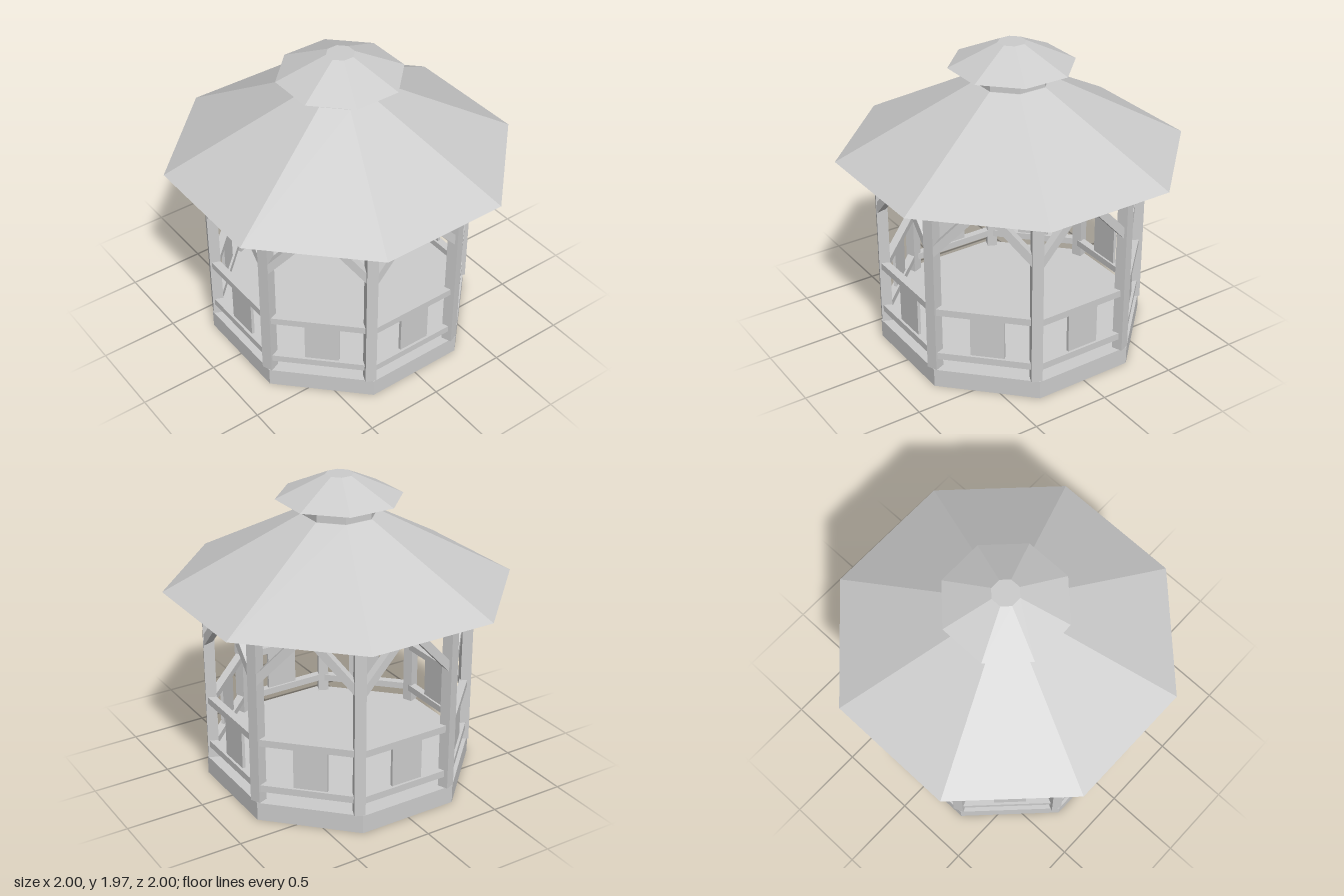
import * as THREE from 'three';

const material = new THREE.MeshStandardMaterial({ color: 0xcccccc, flatShading: true });
const SIDES = 8;
const STEP = (Math.PI * 2) / SIDES;

function addMesh(parent, name, geometry, x = 0, y = 0, z = 0) {
  const mesh = new THREE.Mesh(geometry, material);
  mesh.name = name;
  mesh.position.set(x, y, z);
  parent.add(mesh);
  return mesh;
}

// Octagonal frustum sized by the distance from its axis to the flat sides
function addOctagon(parent, name, bottom, top, y0, y1) {
  const k = 1 / Math.cos(STEP / 2);
  const geometry = new THREE.CylinderGeometry(top * k, bottom * k, y1 - y0, SIDES);
  geometry.rotateY(STEP / 2);
  return addMesh(parent, name, geometry, 0, (y0 + y1) / 2, 0);
}

// Slanted brace with a vertical cut at the post and a level cut at the beam
function braceGeometry(side) {
  const points = [[0.295, 0.91], [0.295, 0.985], [0.12, 1.176], [0.05, 1.176]]
    .map(([x, y]) => new THREE.Vector2(side * x, y));
  return new THREE.ExtrudeGeometry(new THREE.Shape(points), { depth: 0.05, bevelEnabled: false });
}

export function createModel() {
  const model = new THREE.Group();
  model.name = 'gazebo';

  // Floor, main roof, vent and upper roof
  addOctagon(model, 'floor', 0.79, 0.79, 0, 0.12);
  addOctagon(model, 'mainRoof', 1.0, 0.22, 1.28, 1.73);
  addOctagon(model, 'roofVent', 0.215, 0.215, 1.73, 1.83);
  addOctagon(model, 'upperRoof', 0.36, 0.08, 1.83, 1.97);

  const postGeometry = new THREE.BoxGeometry(0.068, 1.16, 0.068);
  const railGeometry = new THREE.BoxGeometry(0.61, 0.045, 0.05);
  const beamGeometry = new THREE.BoxGeometry(0.61, 0.027, 0.05);
  const panelGeometry = new THREE.BoxGeometry(0.21, 0.28, 0.02);
  const braces = [-1, 1].map(braceGeometry);
  const shift = -0.017; // the frame sits slightly to one side of each bay

  for (let i = 0; i < SIDES; i++) {
    // Posts face outward near the corners
    const angle = (i + 0.5) * STEP - THREE.MathUtils.degToRad(1.25);
    const post = addMesh(model, 'post', postGeometry,
      0.816 * Math.sin(angle), 0.7, 0.816 * Math.cos(angle));
    post.rotation.y = angle;

    // One bay: two rails, a panel between them, a beam and two braces
    const bay = new THREE.Group();
    bay.name = 'bay';
    bay.rotation.y = i * STEP;
    addMesh(bay, 'lowerRail', railGeometry, shift, 0.218, 0.756);
    addMesh(bay, 'upperRail', railGeometry, shift, 0.53, 0.756);
    addMesh(bay, 'panel', panelGeometry, 0, 0.374, 0.755);
    addMesh(bay, 'topBeam', beamGeometry, shift, 1.187, 0.756);
    for (const brace of braces) addMesh(bay, 'brace', brace, shift, 0, 0.738);
    model.add(bay);
  }
  return model;
}
